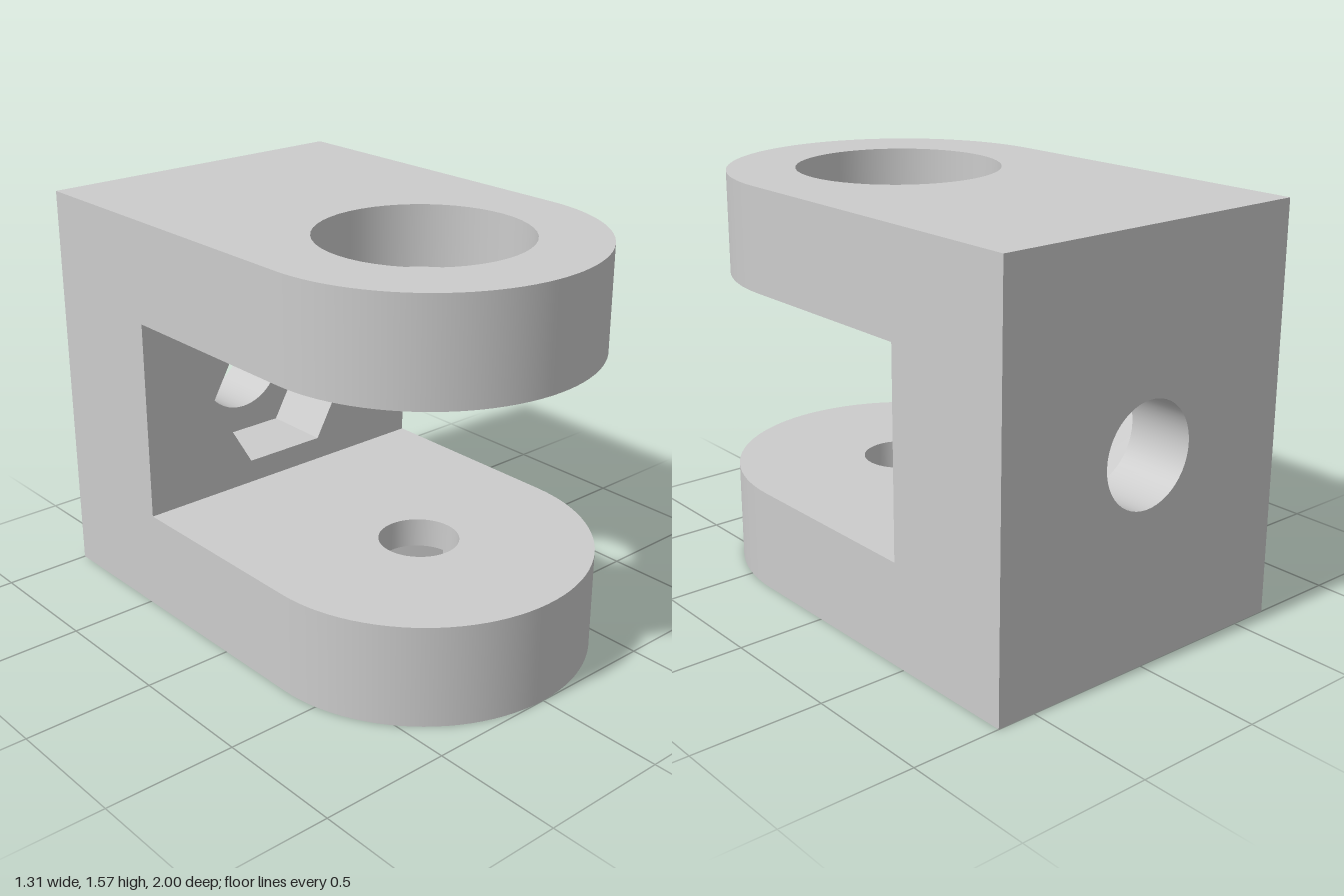
import * as THREE from 'three';

const R = 0.653, NOSE = 1 - R;                 // arm half width, nose centre z
const H = 1.57, LOW = 0.393, HIGH = H - LOW, MID = H / 2;
const BACK = -1, WEB = -0.455;                 // back face and inner wall z
const PIN = 0.152, HEAD = 0.393, BORE = 0.196, HEX = 0.346;
const POCKET = 0.28, SINK = 0.24;              // hexagon and counterbore depths
const SEG = 24;

const mat = new THREE.MeshStandardMaterial({ color: 0xcccccc });
const flatMat = new THREE.MeshStandardMaterial({ color: 0xcccccc, flatShading: true, side: THREE.BackSide });
const boreMat = new THREE.MeshStandardMaterial({ color: 0xcccccc, side: THREE.BackSide });

// Outlines
const polygon = pts => new THREE.Shape(pts.map(p => new THREE.Vector2(...p)));
const rect = (x0, y0, x1, y1) => polygon([[x0, y0], [x1, y0], [x1, y1], [x0, y1]]);
const circle = (r, cy) => new THREE.Shape().absarc(0, cy, r, 0, Math.PI * 2, false);
const hexagon = (cy, turn) => polygon(Array.from({ length: 6 }, (_, i) => {
  const a = turn + i * Math.PI / 3;
  return [HEX * Math.cos(a), cy + HEX * Math.sin(a)];
}));
function armOutline(z0) {
  const s = new THREE.Shape();
  s.moveTo(-R, z0);
  s.lineTo(R, z0);
  s.lineTo(R, NOSE);
  s.absarc(0, NOSE, R, 0, Math.PI, false);
  s.closePath();
  return s;
}

// Flat face with an optional hole; flip turns it to face the other way
function face(outline, hole, flip) {
  if (hole) outline.holes.push(hole);
  const g = new THREE.ShapeGeometry(outline, SEG);
  if (flip) {
    g.index.array.reverse();
    g.attributes.normal.array.forEach((v, i, a) => { a[i] = -v; });
  }
  return g;
}

export function createModel() {
  const model = new THREE.Group();
  model.name = 'clevisBracket';
  const add = (name, geometry, material = mat) => {
    const m = new THREE.Mesh(geometry, material);
    m.name = name;
    model.add(m);
  };
  const level = (name, y, outline, hole, up) =>
    add(name, face(outline, hole, up).rotateX(Math.PI / 2).translate(0, y, 0));
  const tube = (r, from, to, sides) =>
    new THREE.CylinderGeometry(r, r, to - from, sides, 1, true).translate(0, (from + to) / 2, 0);
  const upright = (name, r, y0, y1, sides = SEG * 2, m = boreMat) =>
    add(name, tube(r, y0, y1, sides).translate(0, 0, NOSE), m);

  // Horizontal faces of both arms
  level('topFace', H, armOutline(BACK), circle(HEAD, NOSE), true);
  level('upperArmUnderside', HIGH, armOutline(WEB), circle(PIN, NOSE), false);
  level('lowerArmTop', LOW, armOutline(WEB), circle(PIN, NOSE), true);
  level('bottomFace', 0, armOutline(BACK), hexagon(NOSE, Math.PI / 6), false);

  // C-shaped side faces
  for (const side of [-1, 1]) {
    const c = polygon([[BACK, 0], [NOSE, 0], [NOSE, LOW], [WEB, LOW],
      [WEB, HIGH], [NOSE, HIGH], [NOSE, H], [BACK, H]]);
    add(side > 0 ? 'leftSide' : 'rightSide',
      face(c, null, side > 0).rotateY(-Math.PI / 2).translate(side * R, 0, 0));
  }

  // Rounded arm noses
  for (const [name, y] of [['lowerNose', LOW / 2], ['upperNose', H - LOW / 2]]) {
    add(name, new THREE.CylinderGeometry(R, R, LOW, SEG * 2, 1, true, -Math.PI / 2, Math.PI)
      .translate(0, y, NOSE));
  }

  // Back wall: outside, inside, hexagonal pocket and bore
  const pocketZ = WEB - POCKET;
  add('backFace', face(rect(-R, 0, R, H), circle(BORE, MID), true).translate(0, 0, BACK));
  add('innerWall', face(rect(-R, LOW, R, HIGH), hexagon(MID, 0), false).translate(0, 0, WEB));
  add('wallPocketFloor', face(hexagon(MID, 0), circle(BORE, MID), false).translate(0, 0, pocketZ));
  add('wallPocket', tube(HEX, pocketZ, WEB, 6).rotateY(Math.PI / 6).rotateX(Math.PI / 2)
    .translate(0, MID, 0), flatMat);
  add('wallBore', tube(BORE, BACK, pocketZ, SEG * 2).rotateX(Math.PI / 2).translate(0, MID, 0), boreMat);

  // Upper arm: counterbore and pin hole
  level('counterboreFloor', H - SINK, circle(HEAD, NOSE), circle(PIN, NOSE), true);
  upright('counterbore', HEAD, H - SINK, H);
  upright('upperPinHole', PIN, HIGH, H - SINK);

  // Lower arm: hexagonal pocket underneath and pin hole
  level('lowerPocketFloor', POCKET, hexagon(NOSE, Math.PI / 6), circle(PIN, NOSE), false);
  upright('lowerPocket', HEX, 0, POCKET, 6, flatMat);
  upright('lowerPinHole', PIN, POCKET, LOW);

  return model;
}
